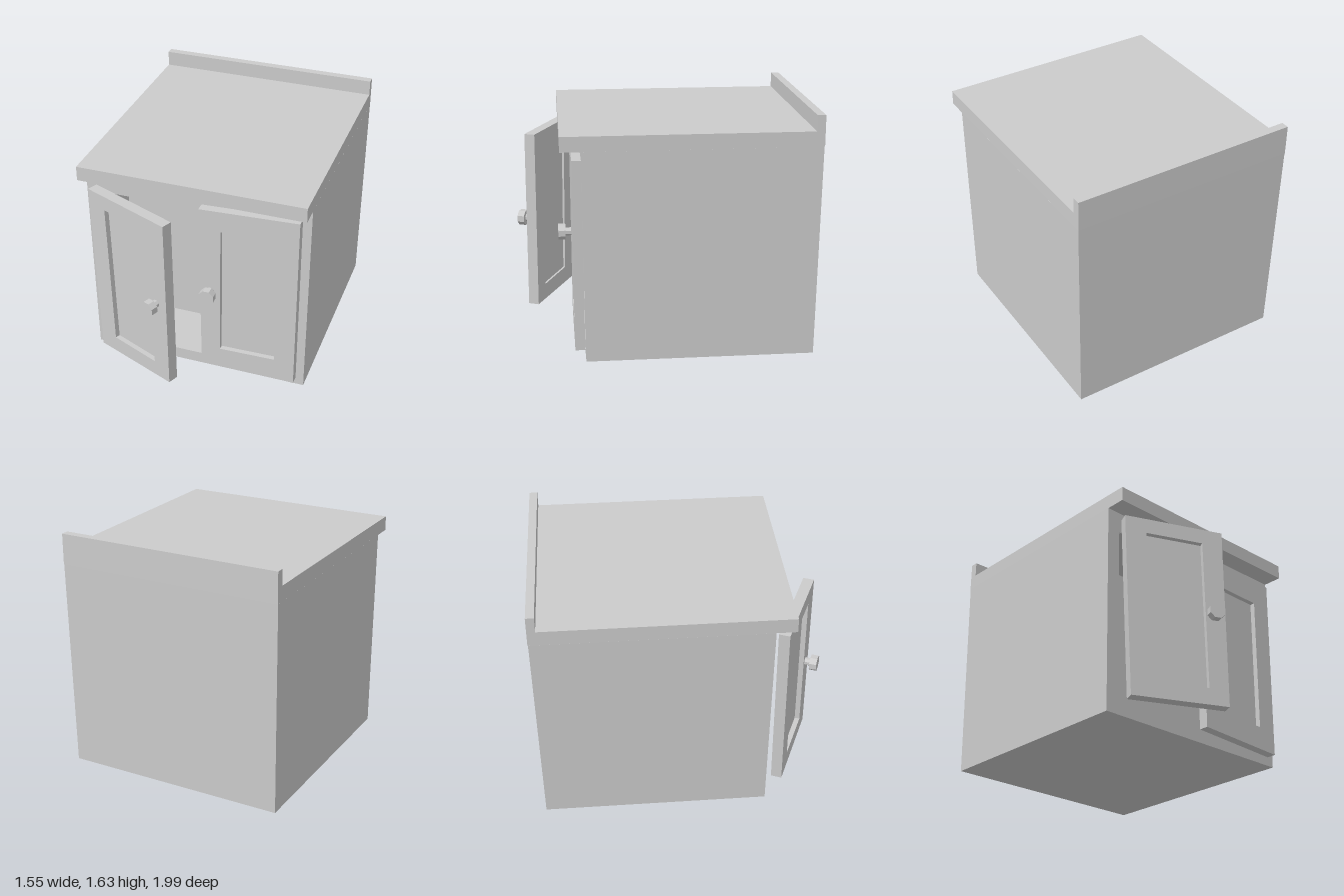
import * as THREE from 'three';

const grey = new THREE.MeshStandardMaterial({ color: 0xcccccc });
grey.name = 'plain grey';

function mesh(name, geometry) {
  const m = new THREE.Mesh(geometry, grey);
  m.name = name;
  return m;
}

// Box given by its minimum and maximum corners
function box(name, [x0, y0, z0], [x1, y1, z1]) {
  const g = new THREE.BoxGeometry(x1 - x0, y1 - y0, z1 - z0);
  g.translate((x0 + x1) / 2, (y0 + y1) / 2, (z0 + z1) / 2);
  return mesh(name, g);
}

const points = (list) => list.map(([x, y]) => new THREE.Vector2(x, y));

// Frame with an opening, extruded from z0 to z1
function frame(name, outline, opening, z0, z1) {
  const shape = new THREE.Shape(points(outline));
  if (opening) shape.holes.push(new THREE.Path(points(opening)));
  const g = new THREE.ExtrudeGeometry(shape, { depth: z1 - z0, bevelEnabled: false });
  g.translate(0, 0, z0);
  return mesh(name, g);
}

const rect = (x0, y0, x1, y1) => [[x0, y0], [x1, y0], [x1, y1], [x0, y1]];

// The carcass widens slightly towards the top
function taper(m) {
  const p = m.geometry.attributes.position;
  for (let i = 0; i < p.count; i++) {
    const t = p.getY(i) / 1.43;
    p.setX(i, p.getX(i) * (1 + 0.016 * t));
    p.setZ(i, p.getZ(i) * (1 + 0.017 * t));
  }
  m.geometry.computeVertexNormals();
  return m;
}

// Eight-sided knob on a short stem, pointing along +z
function knob(x, y) {
  const group = new THREE.Group();
  group.name = 'knob';
  for (const [name, r, z0, z1] of [['knobStem', 0.028, -0.005, 0.04], ['knobHead', 0.056, 0.04, 0.09]]) {
    const g = new THREE.CylinderGeometry(r, r, z1 - z0, 8).toNonIndexed();
    g.rotateY(Math.PI / 8);
    g.rotateX(Math.PI / 2);
    g.translate(0, 0, (z0 + z1) / 2);
    g.computeVertexNormals();
    group.add(mesh(name, g));
  }
  group.position.set(x, y, 0);
  return group;
}

// Door with its front face at z = 0
function door(name, outline, opening, thickness, knobX, knobY) {
  const group = new THREE.Group();
  group.name = name;
  group.add(
    frame('doorFrame', outline, opening, -thickness, 0),
    frame('doorPanel', opening, null, -thickness + 0.015, -0.035),
    knob(knobX, knobY)
  );
  return group;
}

export function createModel() {
  const model = new THREE.Group();
  model.name = 'cabinet';

  // Carcass: solid rear and a hollow front compartment
  model.add(
    taper(box('cabinetBack', [-0.765, 0, -0.98], [0.765, 1.43, 0.12])),
    taper(frame('cabinetFront', rect(-0.765, 0, 0.765, 1.43), rect(-0.67, 0.085, 0.67, 1.285), 0.12, 0.545))
  );

  // Worktop and upstand
  model.add(
    box('worktop', [-0.777, 1.43, -1], [0.777, 1.53, 0.69]),
    box('backsplash', [-0.777, 1.53, -1], [0.777, 1.635, -0.945])
  );

  // Closed door, slightly out of square
  const closed = door('leftDoor',
    [[0.045, 0.09], [0.71, 0.06], [0.715, 1.358], [0.035, 1.33]],
    [[0.18, 0.22], [0.57, 0.228], [0.57, 1.178], [0.185, 1.185]],
    0.065, 0.113, 0.70);
  closed.position.z = 0.615;
  model.add(closed);

  // Door standing ajar, swung about its outer edge
  const ajar = door('rightDoor',
    [[0.043, 0.09], [0.70, 0.10], [0.685, 1.355], [0, 1.355]],
    [[0.18, 0.21], [0.565, 0.21], [0.543, 1.25], [0.147, 1.25]],
    0.075, 0.60, 0.72);
  ajar.position.set(-0.72, 0, 0.655);
  ajar.rotation.y = -0.4;
  model.add(ajar);

  return model;
}
